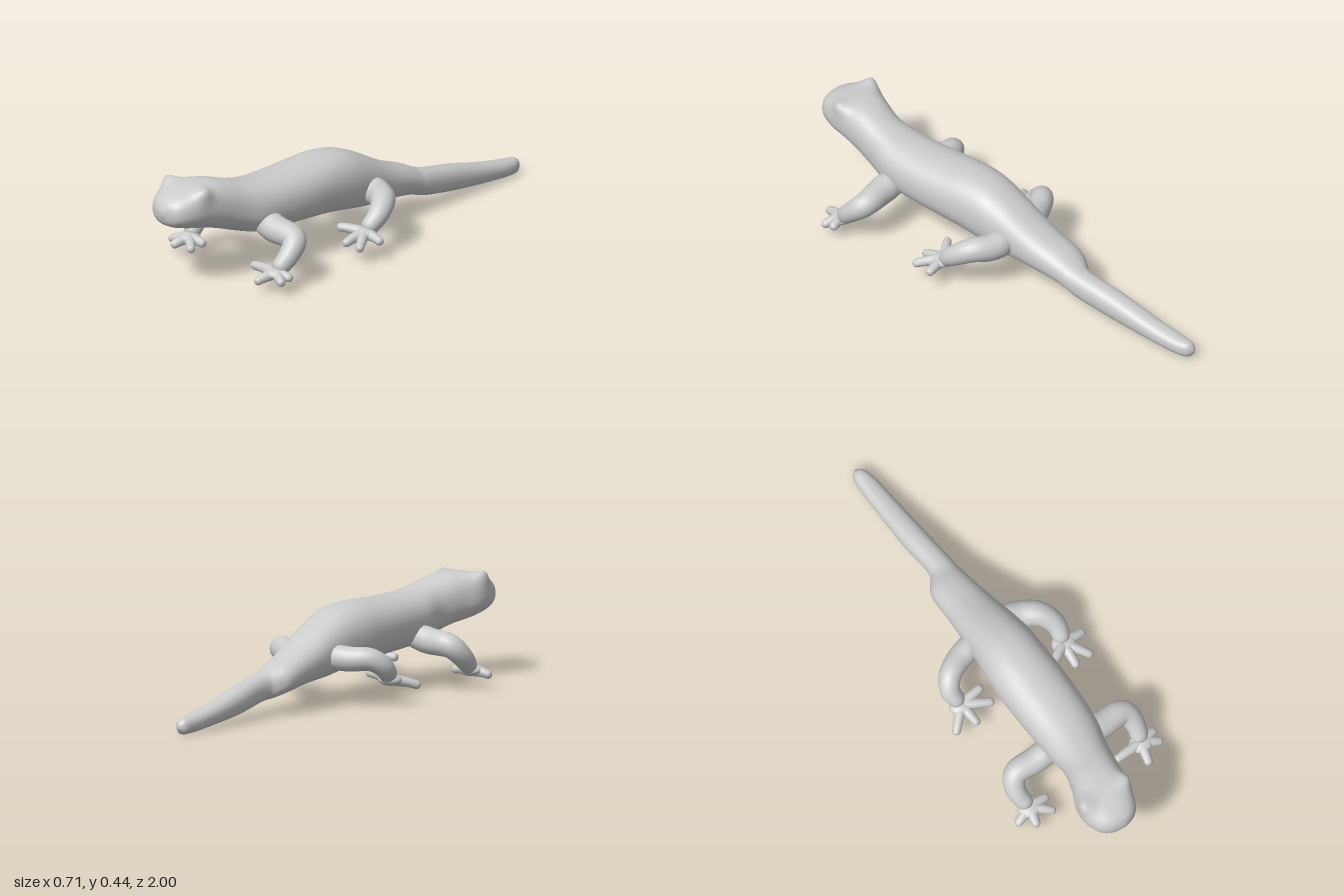
import * as THREE from 'three';
import { mergeVertices } from 'three/addons/utils/BufferGeometryUtils.js';

const material = new THREE.MeshStandardMaterial({ color: 0xcccccc });
const V = (p) => new THREE.Vector3(...p);

function add(parent, name, geometry) {
  const mesh = new THREE.Mesh(geometry, material);
  mesh.name = name;
  parent.add(mesh);
  return mesh;
}

// Tube along a curve with varying radius and rounded ends
function taperedTube(points, radii, rings = 28, sides = 16) {
  const curve = new THREE.CatmullRomCurve3(points.map(V));
  const length = curve.getLength();
  let geometry = new THREE.TubeGeometry(curve, rings, 1, sides);
  const pos = geometry.attributes.position;
  const v = new THREE.Vector3();
  for (let i = 0; i <= rings; i++) {
    const t = i / rings;
    const centre = curve.getPointAt(t);
    const f = t * (radii.length - 1);
    const k = Math.min(Math.floor(f), radii.length - 2);
    let r = THREE.MathUtils.lerp(radii[k], radii[k + 1], f - k);
    const d = Math.min(t, 1 - t) * length;
    if (d < r) r *= Math.sqrt(Math.max(0, 1 - (1 - d / r) ** 2));
    for (let j = 0; j <= sides; j++) {
      const n = i * (sides + 1) + j;
      v.fromBufferAttribute(pos, n).sub(centre).multiplyScalar(r).add(centre);
      pos.setXYZ(n, v.x, v.y, v.z);
    }
  }
  geometry.deleteAttribute('uv');
  geometry.deleteAttribute('normal');
  geometry = mergeVertices(geometry, 1e-5);
  geometry.computeVertexNormals();
  return geometry;
}

// Body cross-sections from snout to tail tip: z, xMin, xMax, yBottom, yTop
const SECTIONS = [
  [1.0, -0.07, -0.04, 0.325, 0.35],
  [0.985, -0.115, 0.005, 0.29, 0.38],
  [0.96, -0.147, 0.033, 0.273, 0.4],
  [0.9, -0.174, 0.06, 0.255, 0.425],
  [0.83, -0.174, 0.072, 0.24, 0.438],
  [0.75, -0.14, 0.083, 0.222, 0.436],
  [0.65, -0.112, 0.102, 0.19, 0.41],
  [0.56, -0.12, 0.127, 0.165, 0.393],
  [0.45, -0.125, 0.139, 0.157, 0.388],
  [0.3, -0.133, 0.143, 0.15, 0.392],
  [0.15, -0.131, 0.139, 0.138, 0.398],
  [0.05, -0.119, 0.135, 0.125, 0.385],
  [-0.05, -0.107, 0.124, 0.11, 0.345],
  [-0.2, -0.095, 0.102, 0.1, 0.265],
  [-0.34, -0.086, 0.084, 0.08, 0.21],
  [-0.385, -0.06, 0.08, 0.068, 0.188],
  [-0.42, -0.035, 0.079, 0.06, 0.178],
  [-0.6, -0.042, 0.066, 0.03, 0.142],
  [-0.8, -0.041, 0.052, 0.01, 0.095],
  [-0.93, -0.038, 0.04, 0.001, 0.073],
  [-0.98, -0.03, 0.024, 0.003, 0.065],
  [-1.0, -0.01, 0.002, 0.025, 0.042],
];

// Eye bulges that swell out of the head: centre, then outward push
const EYES = [
  { at: V([-0.15, 0.415, 0.86]), push: V([-0.017, 0.026, 0.004]) },
  { at: V([0.048, 0.412, 0.855]), push: V([0.017, 0.02, 0.004]) },
];

function bodyGeometry(perSpan = 5, sides = 56) {
  const low = new THREE.CatmullRomCurve3(SECTIONS.map(([z, x0, , y0]) => V([x0, y0, z])));
  const high = new THREE.CatmullRomCurve3(SECTIONS.map(([z, , x1, , y1]) => V([x1, y1, z])));
  const rings = (SECTIONS.length - 1) * perSpan;
  const position = [], index = [];
  const round = (c, power) => Math.sign(c) * Math.abs(c) ** power;
  for (let i = 0; i <= rings; i++) {
    const a = low.getPoint(i / rings), b = high.getPoint(i / rings);
    const z = (a.z + b.z) / 2;
    // The crown of the head is squarer than the rest
    const crown = 0.2 * Math.exp(-(((z - 0.85) / 0.12) ** 2));
    for (let j = 0; j < sides; j++) {
      const angle = (j / sides) * Math.PI * 2;
      const power = 0.88 - crown * Math.max(0, Math.sin(angle)) ** 0.5;
      const p = V([(a.x + b.x) / 2 + ((b.x - a.x) / 2) * round(Math.cos(angle), power),
        (a.y + b.y) / 2 + ((b.y - a.y) / 2) * round(Math.sin(angle), power), z]);
      const swell = EYES.map((eye) => Math.exp(-p.distanceToSquared(eye.at) / 0.0013));
      EYES.forEach((eye, n) => p.addScaledVector(eye.push, swell[n]));
      position.push(p.x, p.y, p.z);
      if (i < rings) {
        const m = i * sides + j, q = i * sides + ((j + 1) % sides);
        index.push(m, m + sides, q, q, m + sides, q + sides);
      }
    }
  }
  // Close the snout and the tail tip
  const last = rings * sides;
  for (let j = 1; j < sides - 1; j++) {
    index.push(0, j, j + 1, last, last + j + 1, last + j);
  }
  const geometry = new THREE.BufferGeometry();
  geometry.setAttribute('position', new THREE.Float32BufferAttribute(position, 3));
  geometry.setIndex(index);
  geometry.computeVertexNormals();
  return geometry;
}

// Leg paths from body to foot, with toe tips around each foot
const LEGS = {
  frontLeft: {
    path: [[0.03, 0.225, 0.53], [0.15, 0.203, 0.54], [0.262, 0.188, 0.545], [0.282, 0.14, 0.595], [0.268, 0.075, 0.66]],
    radii: [0.05, 0.06, 0.054, 0.044, 0.034],
    toes: [[0.132, 0.077, 0.665], [0.245, 0.05, 0.757], [0.35, 0.054, 0.7], [0.352, 0.064, 0.645]],
  },
  frontRight: {
    path: [[-0.03, 0.225, 0.51], [-0.15, 0.2, 0.51], [-0.258, 0.188, 0.51], [-0.286, 0.14, 0.555], [-0.27, 0.075, 0.63]],
    radii: [0.05, 0.056, 0.052, 0.044, 0.034],
    toes: [[-0.357, 0.053, 0.66], [-0.288, 0.052, 0.715], [-0.185, 0.054, 0.7], [-0.176, 0.066, 0.63]],
  },
  rearLeft: {
    path: [[0.03, 0.21, -0.07], [0.15, 0.198, -0.05], [0.225, 0.2, 0], [0.258, 0.165, 0.06], [0.25, 0.105, 0.13]],
    radii: [0.05, 0.058, 0.053, 0.044, 0.034],
    toes: [[0.148, 0.12, 0.192], [0.241, 0.077, 0.245], [0.325, 0.072, 0.235], [0.355, 0.085, 0.13]],
  },
  rearRight: {
    path: [[-0.03, 0.21, -0.06], [-0.15, 0.2, -0.035], [-0.23, 0.2, 0.005], [-0.263, 0.165, 0.05], [-0.25, 0.105, 0.11]],
    radii: [0.048, 0.053, 0.05, 0.044, 0.034],
    toes: [[-0.34, 0.075, 0.2], [-0.235, 0.078, 0.217], [-0.128, 0.1, 0.178], [-0.135, 0.125, 0.1]],
  },
};

function buildLeg(name, { path, radii, toes }) {
  const leg = new THREE.Group();
  leg.name = name + 'Leg';
  add(leg, 'limb', taperedTube(path, radii, 40, 20));
  const ankle = V(path[path.length - 1]);
  // Flattened palm joining the toes
  const palm = add(leg, 'palm', new THREE.SphereGeometry(1, 20, 14));
  palm.scale.set(0.052, 0.025, 0.046);
  palm.position.copy(ankle);
  toes.forEach((tip, i) => {
    const end = V(tip);
    const middle = ankle.clone().lerp(end, 0.55);
    middle.y += 0.004;
    add(leg, 'toe' + (i + 1),
      taperedTube([ankle.toArray(), middle.toArray(), tip], [0.026, 0.021, 0.017], 20, 12));
  });
  return leg;
}

export function createModel() {
  const model = new THREE.Group();
  model.name = 'lizard';
  add(model, 'body', bodyGeometry());
  for (const [name, spec] of Object.entries(LEGS)) model.add(buildLeg(name, spec));
  return model;
}
